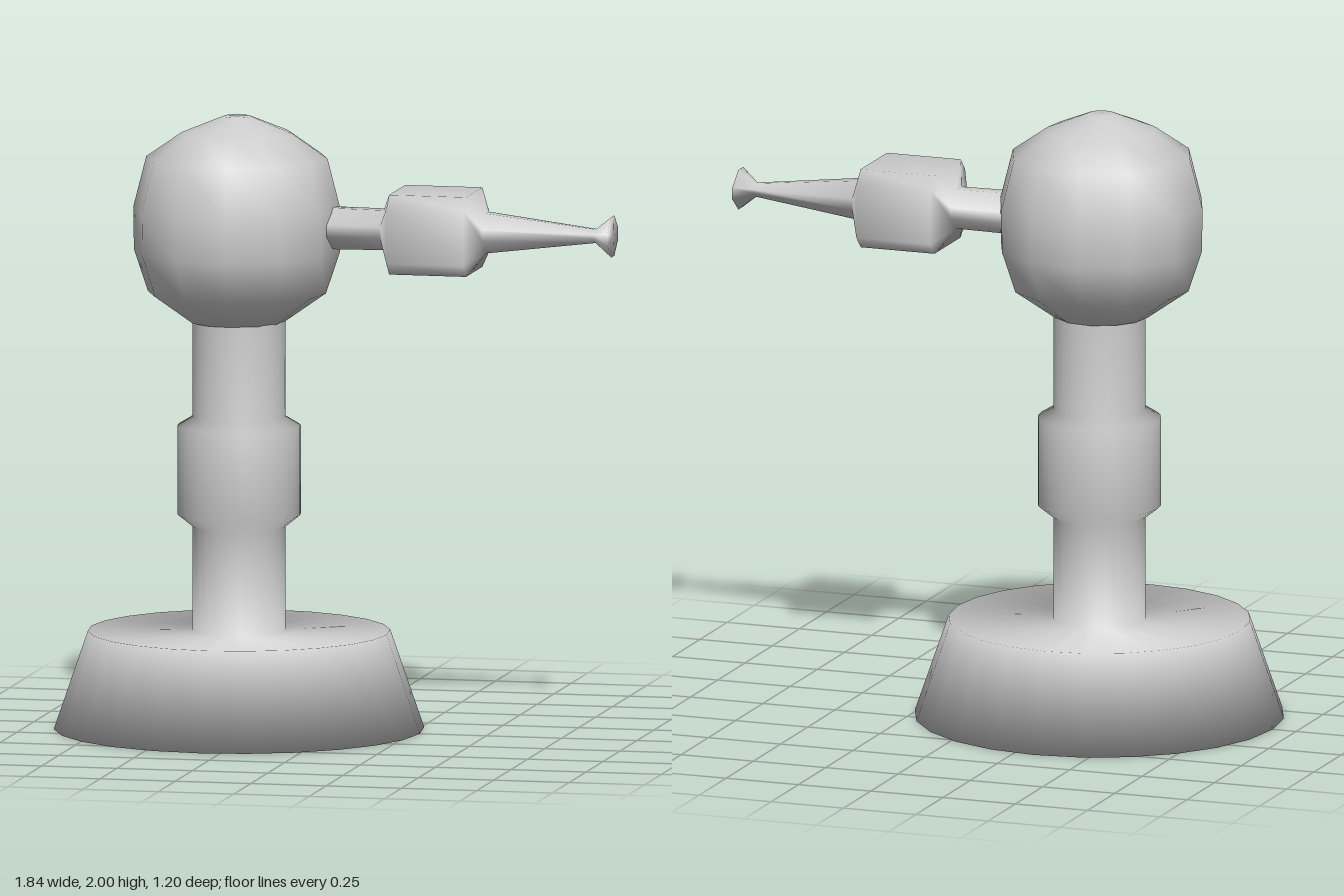
import * as THREE from 'three';

const AXIS_X = -0.32;
const grey = new THREE.MeshStandardMaterial({ color: 0xcccccc });

function part(name, geometry, x = 0, y = 0) {
  const mesh = new THREE.Mesh(geometry, grey);
  mesh.name = name;
  mesh.position.set(x, y, 0);
  return mesh;
}

// Smooth solid of revolution from [radius, height] pairs, listed bottom to top
function turned(profile, sides, phase = 0) {
  return new THREE.LatheGeometry(profile.map(([r, y]) => new THREE.Vector2(r, y)), sides, phase);
}

// Rectangle (half depth a, half height b) with its corners cut by c
function section(x, a, b, ca, cb) {
  return [[a, cb - b], [a, b - cb], [a - ca, b], [ca - a, b],
    [-a, b - cb], [-a, cb - b], [ca - a, -b], [a - ca, -b]].map(([z, y]) => [x, y, z]);
}

// Skin a row of equal-sized sections along +x, capped at both ends
function loft(rings) {
  const n = rings[0].length;
  const last = (rings.length - 1) * n;
  const points = rings.flat();
  const start = points.length;
  points.push([rings[0][0][0], 0, 0], [rings[rings.length - 1][0][0], 0, 0]);
  const index = [];
  for (let j = 0; j < n; j++) {
    const k = (j + 1) % n;
    for (let i = 0; i < last; i += n) {
      index.push(i + j, i + n + j, i + k, i + k, i + n + j, i + n + k);
    }
    index.push(start, j, k, start + 1, last + k, last + j);
  }
  const g = new THREE.BufferGeometry();
  g.setAttribute('position', new THREE.Float32BufferAttribute(points.flat(), 3));
  // Keep the winding facing outwards
  const [p, q, r] = index.slice(0, 3).map((i) => new THREE.Vector3(...points[i]));
  const normal = q.clone().sub(p).cross(r.clone().sub(p));
  if (normal.dot(new THREE.Vector3(0, p.y, p.z)) < 0) index.reverse();
  g.setIndex(index);
  g.computeVertexNormals();
  return g;
}

export function createModel() {
  const model = new THREE.Group();
  model.name = 'jointedArm';

  // Flared foot, post and collar in one smooth skin
  model.add(part('baseAndPost', turned([
    [0, 0], [0.6, 0], [0.49, 0.32], [0.15, 0.32],
    [0.15, 0.66], [0.2, 0.7], [0.2, 0.99], [0.15, 1.02], [0.15, 1.4],
  ], 24), AXIS_X));

  // Rounded head
  model.add(part('head', turned([
    [0, 1.33], [0.155, 1.33], [0.29, 1.425], [0.335, 1.56],
    [0.337, 1.7], [0.295, 1.865], [0.18, 1.945], [0.045, 2], [0, 2],
  ], 12, 0.12), AXIS_X - 0.007));

  // Side arm: rod, block, tapering rod and flared tip
  const rod = (x, a, b) => section(x, a, b, a * 0.72, b * 0.72);
  const block = (x) => section(x, 0.16, 0.13, 0.04, 0.04);
  model.add(part('arm', loft([
    rod(-0.1, 0.085, 0.068), rod(0.165, 0.08, 0.065),
    block(0.205), block(0.46),
    rod(0.505, 0.08, 0.065), rod(0.865, 0.027, 0.022), rod(0.92, 0.08, 0.066),
  ]), 0, 1.645));

  return model;
}
